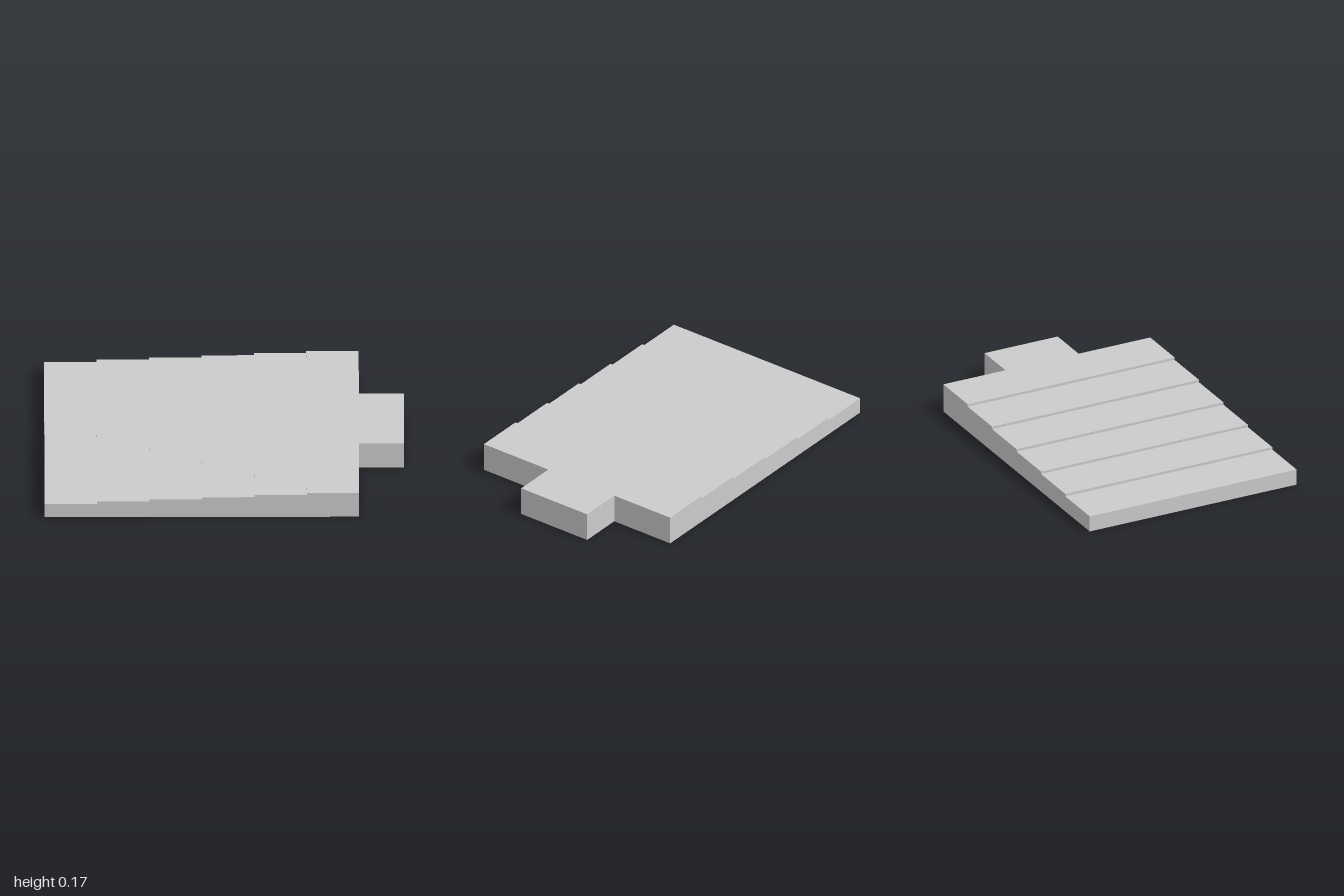
import * as THREE from 'three';

const STEPS = 6;
const HALF_DEPTH = 0.65;
const START_X = -1, BODY_END_X = 0.75, TAB_END_X = 1;
const TREAD = (BODY_END_X - START_X) / STEPS;
const LOW = 0.093, HIGH = 0.167;
const LANDING_X = BODY_END_X - TREAD;

function extrude(points, depth) {
  const shape = new THREE.Shape(points.map(([x, y]) => new THREE.Vector2(x, y)));
  return new THREE.ExtrudeGeometry(shape, { depth, bevelEnabled: false });
}

export function createModel() {
  const group = new THREE.Group();
  group.name = 'steppedPlatform';
  const material = new THREE.MeshStandardMaterial({ color: 0xcccccc, flatShading: true });

  const add = (name, geometry) => {
    const mesh = new THREE.Mesh(geometry, material);
    mesh.name = name;
    group.add(mesh);
  };

  // Shallow steps: a side profile rising towards +x, extruded across the depth
  const profile = [[LANDING_X, 0]];
  for (let i = STEPS - 2; i >= 0; i--) {
    const y = LOW + (HIGH - LOW) * i / (STEPS - 1);
    const x = START_X + i * TREAD;
    profile.push([x + TREAD, y], [x, y]);
  }
  profile.push([START_X, 0]);
  add('steps', extrude(profile, 2 * HALF_DEPTH).translate(0, 0, -HALF_DEPTH));

  // Top landing with its off-centre tab: a plan outline (second value is -z), extruded upwards
  const plan = [
    [LANDING_X, -HALF_DEPTH], [BODY_END_X, -HALF_DEPTH],
    [BODY_END_X, -0.2], [TAB_END_X, -0.2],
    [TAB_END_X, 0.26], [BODY_END_X, 0.26],
    [BODY_END_X, HALF_DEPTH], [LANDING_X, HALF_DEPTH],
  ];
  add('landingWithTab', extrude(plan, HIGH).rotateX(-Math.PI / 2));

  return group;
}
